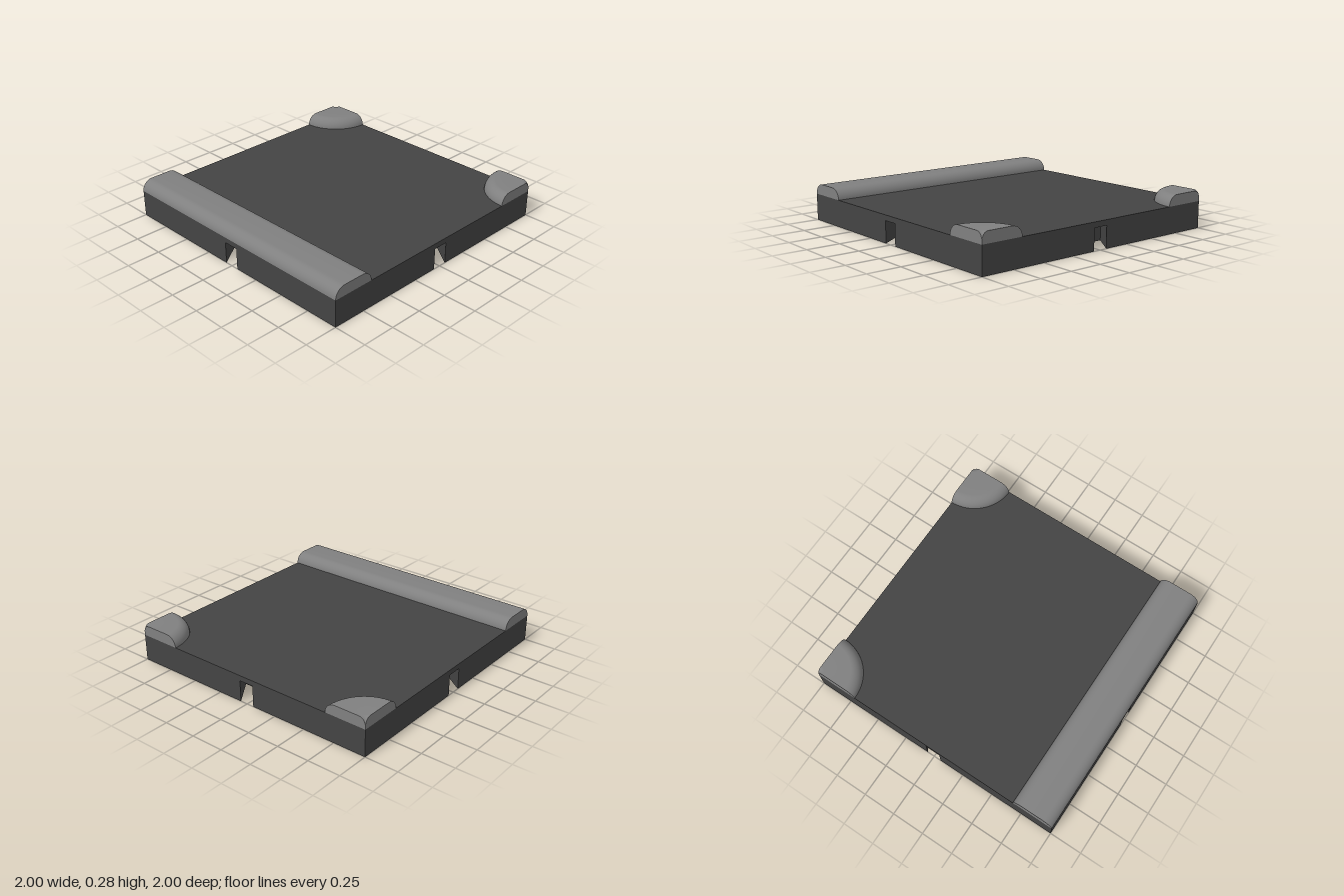
import * as THREE from 'three';
import { toCreasedNormals } from 'three/addons/utils/BufferGeometryUtils.js';

const SLAB_TOP = 0.2, NOTCH_TOP = 0.16, RIM_WIDTH = 0.32, RIM_HEIGHT = 0.08;

const darkMat = new THREE.MeshStandardMaterial({ color: 0x444444 });
const rimMat = new THREE.MeshStandardMaterial({ color: 0x808080 });
const capMat = new THREE.MeshStandardMaterial({ color: 0x808080, side: THREE.DoubleSide });

function addMesh(parent, name, geometry, material) {
  const mesh = new THREE.Mesh(geometry, material);
  mesh.name = name;
  parent.add(mesh);
  return mesh;
}

// Points along a quarter arc
function arc(cx, cy, r, from, to, steps = 10) {
  return Array.from({ length: steps + 1 }, (_, i) => {
    const a = from + (to - from) * i / steps;
    return new THREE.Vector2(cx + r * Math.cos(a), cy + r * Math.sin(a));
  });
}

// Square outline with a dovetail notch in the middle of every side
function notchedOutline() {
  const side = [[-1, -1], [-0.057, -1], [-0.19, -0.81], [0.19, -0.81], [0.057, -1]];
  const points = [];
  for (let i = 0; i < 4; i++) {
    for (const [x, y] of side) {
      points.push(new THREE.Vector2(x, y).rotateAround(new THREE.Vector2(), i * Math.PI / 2));
    }
  }
  return new THREE.Shape(points);
}

// Quarter-round raised corner, turned about the tile's corner, with a small dip at its centre
function makeCorner(name, x, phiStart) {
  const corner = new THREE.Group();
  corner.name = name;
  corner.position.set(x, SLAB_TOP, -1);
  const profile = [
    ...arc(RIM_WIDTH - RIM_HEIGHT, 0, RIM_HEIGHT, 0, Math.PI / 2),
    ...arc(0.05, RIM_HEIGHT - 0.047, 0.047, Math.PI / 2, Math.PI, 6),
  ];
  profile[profile.length - 1].x = 0;
  addMesh(corner, 'cornerDome', new THREE.LatheGeometry(profile, 24, phiStart, Math.PI / 2), rimMat);
  // Flat faces flush with the tile's sides
  const section = new THREE.Shape([...profile, new THREE.Vector2(0, 0)]);
  for (const phi of [phiStart, phiStart + Math.PI / 2]) {
    const cap = new THREE.ShapeGeometry(section).rotateY(phi - Math.PI / 2);
    addMesh(corner, 'cornerSideFace', cap, capMat);
  }
  return corner;
}

export function createModel() {
  const model = new THREE.Group();
  model.name = 'floorTile';

  // Lower slab with the connector notches
  const lower = new THREE.ExtrudeGeometry(notchedOutline(), { depth: NOTCH_TOP, bevelEnabled: false });
  addMesh(model, 'notchedBase', lower.rotateX(-Math.PI / 2), darkMat);

  // Upper slab closing the notches from above
  const top = new THREE.BoxGeometry(2, SLAB_TOP - NOTCH_TOP, 2);
  addMesh(model, 'topSlab', top, darkMat).position.y = (SLAB_TOP + NOTCH_TOP) / 2;

  // Straight rim along the front, rounded on both upper edges
  const rimShape = new THREE.Shape([
    ...arc(1 - RIM_HEIGHT, 0, RIM_HEIGHT, 0, Math.PI / 2),
    ...arc(1 - RIM_WIDTH + RIM_HEIGHT, 0, RIM_HEIGHT, Math.PI / 2, Math.PI),
  ]);
  const rim = new THREE.ExtrudeGeometry(rimShape, { depth: 2, bevelEnabled: false }).rotateY(-Math.PI / 2);
  addMesh(model, 'frontRim', toCreasedNormals(rim, 0.6), rimMat).position.set(1, SLAB_TOP, 0);

  // Raised rear corners
  model.add(makeCorner('rightRearCorner', -1, 0), makeCorner('leftRearCorner', 1, -Math.PI / 2));

  return model;
}
